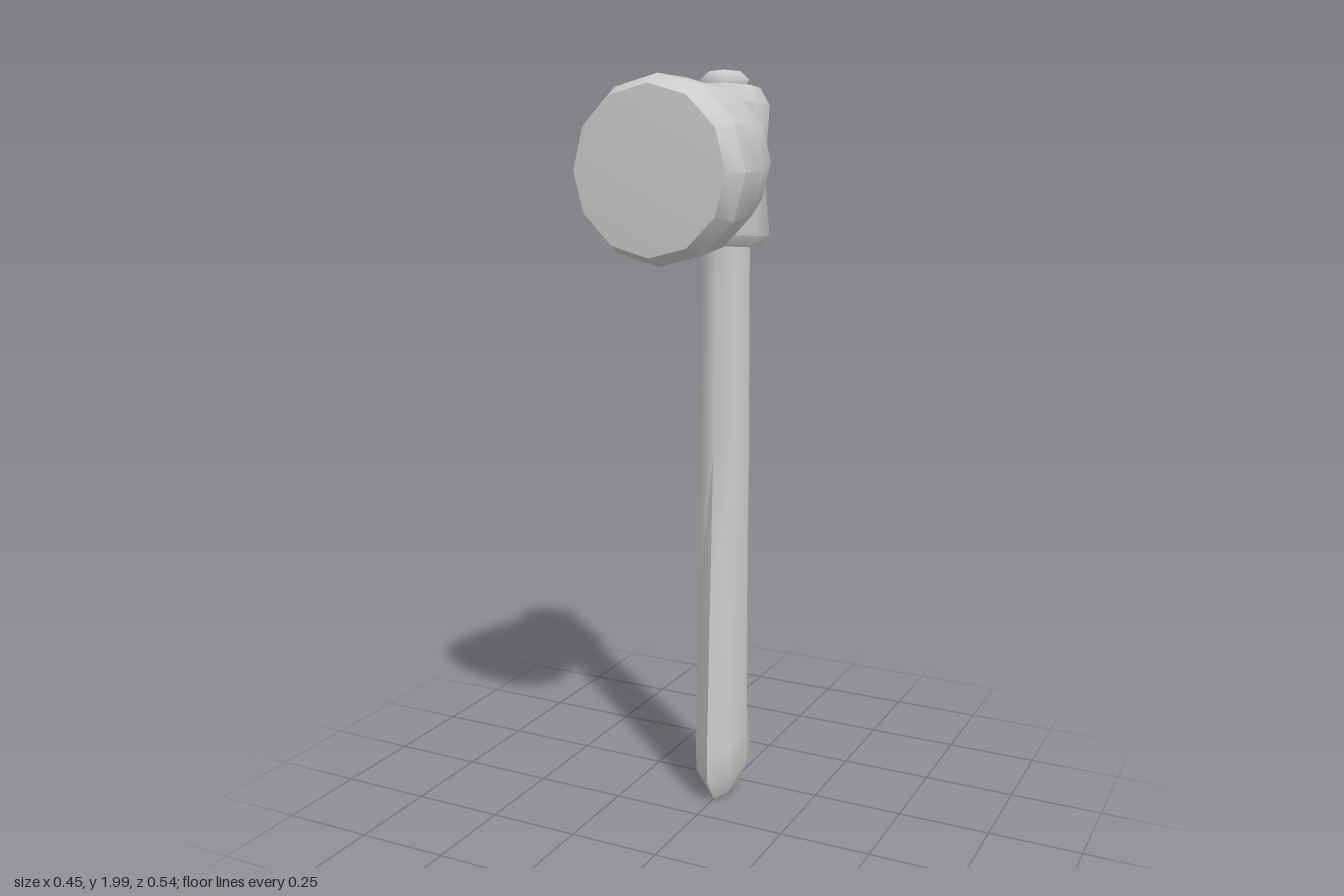
import * as THREE from 'three';
import { toCreasedNormals } from 'three/addons/utils/BufferGeometryUtils.js';

const v = (x, y, z) => new THREE.Vector3(x, y, z);

// Skin a list of closed rings (counter-clockwise around the loft direction).
// Each end closes on a centre point, which may be given to dome the cap.
function loft(rings, crease, startTip, endTip) {
  const n = rings[0].length;
  const centre = (r) => r.reduce((s, p) => s.add(p), v(0, 0, 0)).divideScalar(n);
  const first = rings[0], last = rings[rings.length - 1];
  const pts = [...rings.flat(), startTip ?? centre(first), endTip ?? centre(last)];
  const start = pts.length - 2, end = pts.length - 1;
  const index = [];
  for (let j = 0; j < n; j++) {
    const k = (j + 1) % n;
    for (let i = 0; i < rings.length - 1; i++) {
      const a = i * n + j, b = i * n + k;
      index.push(a, b, b + n, a, b + n, a + n);
    }
    const top = (rings.length - 1) * n;
    index.push(start, k, j, end, top + j, top + k);
  }
  const g = new THREE.BufferGeometry().setFromPoints(pts);
  g.setIndex(index);
  return toCreasedNormals(g, crease);
}

export function createModel() {
  const group = new THREE.Group();
  const material = new THREE.MeshStandardMaterial({ color: 0xcccccc, roughness: 0.8 });
  const add = (name, geometry) => {
    const mesh = new THREE.Mesh(geometry, material);
    mesh.name = name;
    group.add(mesh);
    return mesh;
  };

  // Handle: teardrop section with a sharp front ridge; the butt is cut at a slant.
  // [y at front, y at back, half width, front z, back z]
  const handleRings = [
    [0.01, 0.085, 0.045, -0.105, -0.235],
    [0.08, 0.14, 0.072, -0.06, -0.26],
    [0.16, 0.24, 0.071, -0.06, -0.235],
    [0.6, 0.6, 0.07, -0.078, -0.234],
    [1.0, 1.0, 0.07, -0.095, -0.234],
    [1.55, 1.55, 0.066, -0.1, -0.234],
    [1.95, 1.95, 0.06, -0.105, -0.228],
  ].map(([yf, yb, w, zf, zb]) =>
    // [x share, share of the way from front to back]
    [[0, 0], [0.72, 0.2], [1, 0.55], [0.6, 1], [-0.6, 1], [-1, 0.55], [-0.72, 0.2]]
      .map(([s, t]) => v(s * w, yf + (yb - yf) * t, zf + (zb - zf) * t)));
  add('handle', loft(handleRings, 1.05));

  // Knob: handle end standing out above the head
  const knob = add('handleKnob', new THREE.LatheGeometry(
    [[0.05, 1.93], [0.056, 1.952], [0.07, 1.975], [0.045, 1.995], [0, 2]]
      .map(([r, y]) => new THREE.Vector2(r, y)), 6));
  knob.rotation.y = Math.PI / 6;
  knob.position.set(-0.005, 0, -0.165);

  // Socket: waisted eight-sided collar around the handle
  const socketRings = [
    [1.555, 0.095], [1.585, 0.116], [1.75, 0.102], [1.915, 0.113], [1.958, 0.088],
  ].map(([y, r]) => Array.from({ length: 8 }, (_, i) => {
    const a = (i + 0.5) * Math.PI / 4;
    return v(Math.sin(a) * r, y + Math.cos(a) * 0.008, -0.163 + Math.cos(a) * r);
  }));
  add('socket', loft(socketRings, 0.8));

  // Drum: twelve-sided striking head, narrowing back into the socket
  // [z, half width, bottom y, top y]
  const drumRings = [
    [-0.23, 0.085, 1.63, 1.9],
    [-0.135, 0.125, 1.61, 1.94],
    [-0.065, 0.17, 1.595, 1.952],
    [0.06, 0.205, 1.545, 1.974],
    [0.21, 0.227, 1.533, 1.98],
    [0.262, 0.2, 1.557, 1.957],
  ].map(([z, w, lo, hi]) => Array.from({ length: 12 }, (_, i) => {
    const a = i * Math.PI / 6;
    return v(Math.cos(a) * w, (lo + hi) / 2 + Math.sin(a) * (hi - lo) / 2, z);
  }));
  add('drum', loft(drumRings, 0.7, undefined, v(0, 1.757, 0.272)));

  return group;
}
